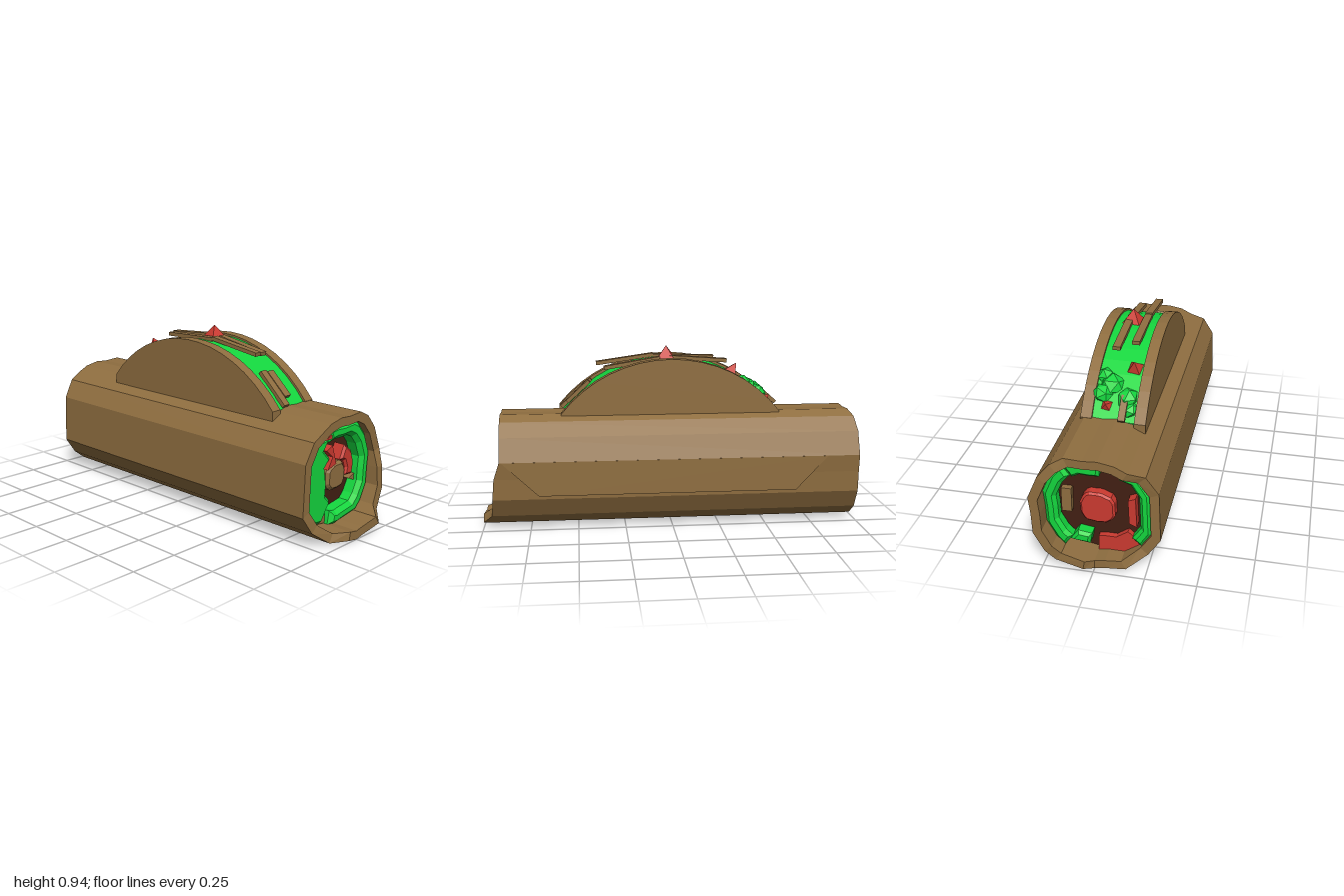
import * as THREE from 'three';
import { ConvexGeometry } from 'three/addons/geometries/ConvexGeometry.js';

const mat = (color) => new THREE.MeshStandardMaterial({ color, flatShading: true, side: THREE.DoubleSide });
const crust = mat(0x8f6e40), lettuceMat = mat(0x14d63e), tomatoMat = mat(0xcc3a30), meatMat = mat(0x421f13);

// wrap cross-section, counter-clockwise: x, y, front z, back z
const OUTLINE = [
  [.30, .29, .93, -.99], [.31, .38, .90, -.99], [.26, .50, .90, -.99], [.20, .57, .90, -.98],
  [.14, .60, .90, -.96], [.05, .595, .90, -.96], [-.02, .60, .90, -.96], [-.10, .585, .90, -.96],
  [-.16, .555, .90, -.96], [-.24, .525, .91, -.93], [-.30, .43, .91, -.915], [-.305, .30, .91, -.915],
  [-.31, .17, .91, -.915], [-.25, .08, .92, -.915], [-.15, .01, .95, -.96], [-.06, .01, 1, -.97],
  [0, 0, 1, -.97], [.05, .01, 1, -1], [.19, .03, 1, -.98], [.24, .08, .95, -.99], [.295, .18, .94, -.99],
];
const N = OUTLINE.length, CY = .3;

// point on the outline at index i, scaled about the centre
function ringPoint(i, s) {
  const [x, y] = OUTLINE[((i % N) + N) % N];
  return [x * s, CY + (y - CY) * s];
}

function add(parent, name, geometry, material) {
  const m = new THREE.Mesh(geometry, material);
  m.name = name;
  parent.add(m);
  return m;
}

// polygon in xy pushed from z0 to z1
function prism(points, z0, z1, bevel = 0) {
  const shape = new THREE.Shape(points.map(([x, y]) => new THREE.Vector2(x, y)));
  const g = new THREE.ExtrudeGeometry(shape, {
    depth: z1 - z0 - 2 * bevel, bevelEnabled: bevel > 0, bevelThickness: bevel,
    bevelSize: bevel, bevelOffset: -bevel, bevelSegments: 1,
  });
  return g.translate(0, 0, z0 + bevel);
}

// part of a ring that follows the wrap, from outline index a to b
function sector(a, b, sIn, sOut, z0, z1, bevel) {
  const pts = [];
  for (let i = a; i <= b; i++) pts.push(ringPoint(i, sOut));
  for (let i = b; i >= a; i--) pts.push(ringPoint(i, sIn));
  return prism(pts, z0, z1, bevel);
}

// hollow wrap with wavy ends
function wrapGeometry() {
  const loops = [[1, 2], [1, 3], [.85, 3], [.85, 2]];
  const pos = [], idx = [];
  for (const [s, zi] of loops)
    OUTLINE.forEach((p, i) => pos.push(...ringPoint(i, s), p[zi]));
  for (let l = 0; l < 4; l++) for (let i = 0; i < N; i++) {
    const j = (i + 1) % N, m = (l + 1) % 4;
    const a = l * N + i, b = l * N + j, c = m * N + j, d = m * N + i;
    idx.push(a, d, b, b, d, c);
  }
  const g = new THREE.BufferGeometry();
  g.setAttribute('position', new THREE.Float32BufferAttribute(pos, 3));
  g.setIndex(idx);
  g.computeVertexNormals();
  return g;
}

// slab in the zy plane with a domed top
function dome(xMin, xMax, half, top, base) {
  const sag = top - base, R = (half * half + sag * sag) / (2 * sag), a = Math.asin(half / R);
  const pts = [[-half, base - .08]];
  for (let i = 0; i <= 16; i++) {
    const t = -a + (2 * a * i) / 16;
    pts.push([R * Math.sin(t), top - R + R * Math.cos(t)]);
  }
  pts.push([half, base - .08]);
  return prism(pts.reverse(), 0, xMax - xMin).rotateY(-Math.PI / 2).translate(xMax, 0, 0);
}

// straight strip between two points in the zy plane
function strip(x, w, z0, y0, z1, y1, t = .02) {
  return new THREE.BoxGeometry(w, t, Math.hypot(z1 - z0, y1 - y0))
    .rotateX(-Math.atan2(y1 - y0, z1 - z0))
    .translate(x, (y0 + y1) / 2, (z0 + z1) / 2);
}

export function createModel() {
  const model = new THREE.Group();
  model.name = 'wrapAndTaco';

  const wrap = new THREE.Group();
  wrap.name = 'wrap';
  model.add(wrap);
  add(wrap, 'tortilla', wrapGeometry(), crust);

  // overlapping edge of the tortilla on the left side
  const flap = [];
  for (const x of [.27, .311])
    for (const [y, z] of [[.38, .89], [.38, -.82], [.2, .7], [.2, -.65]])
      flap.push(new THREE.Vector3(x, y, z));
  add(wrap, 'tortillaFlap', new ConvexGeometry(flap), crust);

  // meat filling and centre pieces
  const full = OUTLINE.map((_, i) => ringPoint(i, .86));
  add(wrap, 'meat', prism(full, -.85, .80), meatMat);
  const core = OUTLINE.map((_, i) => ringPoint(i, .24));
  const plug = add(wrap, 'frontCore', prism(core, .78, .87, .015), crust);
  plug.position.y = -.005;
  add(wrap, 'backCore', prism(OUTLINE.map((_, i) => ringPoint(i, .28)), -.9, -.84, .01), tomatoMat);

  // filling at the front end
  add(wrap, 'frontLettuceRing', sector(-6, 7, .62, .86, .78, .88, .022), lettuceMat);
  add(wrap, 'frontLettuceLeaf', prism([[-.07, .51], [-.19, .505], [-.255, .42], [-.26, .3], [-.255, .17],
    [-.18, .085], [-.12, .08], [-.05, .18], [-.09, .22], [-.085, .28], [-.1, .36], [-.06, .40], [-.11, .45]],
  .78, .88, .018), lettuceMat);
  add(wrap, 'frontTomatoArc', prism([[.065, .28], [.13, .275], [.14, .34], [.12, .40], [.065, .44],
    [.03, .37], [.06, .36], [.075, .32]], .78, .87, .012), tomatoMat);
  add(wrap, 'frontTomatoSliver', prism([[-.03, .37], [-.065, .47], [-.11, .45], [-.06, .41], [-.095, .35]],
    .78, .885), tomatoMat);
  add(wrap, 'frontTomatoTop', prism([[-.09, .53], [-.15, .512], [-.09, .51]], .78, .9), tomatoMat);
  add(wrap, 'frontBeanStrip', prism([[-.05, .18], [-.12, .065], [-.05, .055]], .78, .84), crust);
  add(wrap, 'frontBeanChip', prism([[.14, .24], [.19, .22], [.19, .26]], .78, .84), crust);

  // filling at the back end
  add(wrap, 'backLettuceLeft', sector(-3, 3, .64, .85, -.92, -.84, .018), lettuceMat);
  add(wrap, 'backLettuceTop', sector(3, 6, .6, .85, -.91, -.84, .015), lettuceMat);
  add(wrap, 'backLettuceRight', sector(8, 13, .68, .85, -.91, -.84, .015), lettuceMat);
  add(wrap, 'backLettuceFoot', sector(17, 18, .5, .7, -.92, -.84, .015), lettuceMat);
  add(wrap, 'backTomatoBottom', sector(13, 16, .58, .85, -.88, -.84), tomatoMat);
  add(wrap, 'backTomatoSide', sector(10, 12, .5, .62, -.9, -.84), tomatoMat);
  add(wrap, 'backBeanStrip', prism([[.13, .25], [.18, .25], [.18, .38], [.13, .38]], -.88, -.84), crust);

  const taco = new THREE.Group();
  taco.name = 'taco';
  model.add(taco);
  add(taco, 'rightShell', dome(-.17, -.112, .595, .882, .6), crust);
  add(taco, 'leftShell', dome(.103, .16, .58, .882, .6), crust);
  add(taco, 'tacoLettuce', dome(-.113, .104, .572, .872, .59), lettuceMat);

  // meat strips lying on the lettuce
  [[-.05, .04, .39, .84, .08, .884], [-.05, .04, .08, .878, -.25, .868], [.037, .04, .35, .825, .05, .875],
    [.037, .04, .0, .88, -.31, .858], [-.05, .04, .58, .605, .42, .755], [-.008, .045, .55, .64, .43, .75],
    [-.05, .035, -.5, .7, -.6, .61]]
    .forEach((s) => add(taco, 'meatStrip', strip(...s), crust));

  // tomato pieces: x, y, z, radius, height, tilt
  [[.018, .9, .015, .075, .08, 0], [-.07, .79, -.36, .07, .09, -.55], [.04, .645, -.52, .07, .07, -.9]]
    .forEach(([x, y, z, r, h, tilt]) => {
      const m = add(taco, 'tomatoPiece', new THREE.ConeGeometry(r, h, 4, 1, false, Math.PI / 5), tomatoMat);
      m.position.set(x, y, z);
      m.rotation.x = tilt;
    });

  // loose lettuce at the rear: x, y, z, size
  [[.03, .715, -.43, .07], [-.06, .68, -.49, .06], [.07, .69, -.48, .055], [-.08, .64, -.53, .045], [.07, .745, -.4, .05]]
    .forEach(([x, y, z, r], i) => {
      const m = add(taco, 'looseLettuce', new THREE.IcosahedronGeometry(r, 0), lettuceMat);
      m.position.set(x, y, z);
      m.rotation.set(-.7, i * 1.3, 0);
      m.scale.set(1, .7, .9);
    });

  return model;
}
